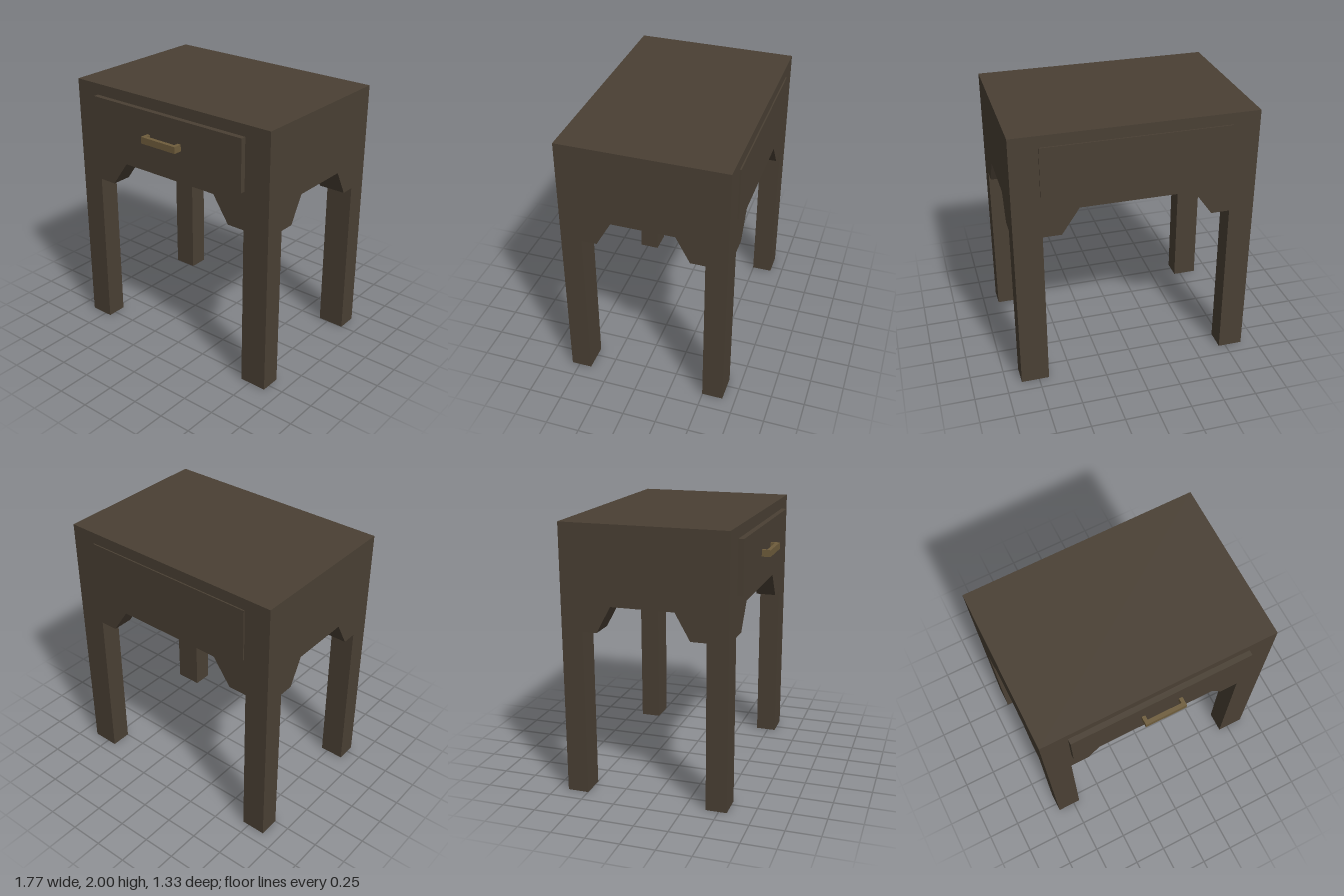
import * as THREE from 'three';

export function createModel() {
  const wood = new THREE.MeshStandardMaterial({ color: 0x4a4034 });
  wood.name = 'dark wood';
  const brass = new THREE.MeshStandardMaterial({ color: 0x6f5d3c });
  brass.name = 'aged brass';

  const model = new THREE.Group();
  model.name = 'nightstand';

  function add(name, geometry, material, parent = model) {
    const mesh = new THREE.Mesh(geometry, material);
    mesh.name = name;
    parent.add(mesh);
    return mesh;
  }

  // Box given by its minimum and maximum on each axis
  function box(name, [x0, x1], [y0, y1], [z0, z1], material, parent) {
    const mesh = add(name, new THREE.BoxGeometry(x1 - x0, y1 - y0, z1 - z0), material, parent);
    mesh.position.set((x0 + x1) / 2, (y0 + y1) / 2, (z0 + z1) / 2);
  }

  const bodyBottom = 1.43, legTop = 1.235;

  // Cabinet body
  box('body', [-0.883, 0.883], [bodyBottom, 2], [-0.655, 0.56], wood);

  // Each end: outer face, inner face of leg, bracket foot, bracket top
  const xEnds = {
    Left: [0.883, 0.675, 0.54, 0.41],
    Right: [-0.883, -0.698, -0.56, -0.42],
  };
  const zEnds = {
    front: [0.56, 0.405, 0.29, 0.18],
    back: [-0.655, -0.498, -0.39, -0.285],
  };
  const span = (a, b) => [Math.min(a, b), Math.max(a, b)];

  // Sloped corner bracket, extruded to the thickness of the leg
  function bracketGeometry([, inner, foot, top], [near, far]) {
    const shape = new THREE.Shape([
      new THREE.Vector2(inner, legTop),
      new THREE.Vector2(foot, legTop),
      new THREE.Vector2(top, bodyBottom),
      new THREE.Vector2(inner, bodyBottom),
    ]);
    const geometry = new THREE.ExtrudeGeometry(shape, { depth: far - near, bevelEnabled: false });
    return geometry.translate(0, 0, near);
  }

  // Four legs, each with a bracket along both aprons
  for (const [zName, z] of Object.entries(zEnds)) {
    for (const [xName, x] of Object.entries(xEnds)) {
      const corner = new THREE.Group();
      corner.name = `${zName}${xName}Corner`;
      model.add(corner);
      const xSpan = span(x[0], x[1]), zSpan = span(z[0], z[1]);
      box('leg', xSpan, [0, bodyBottom], zSpan, wood, corner);
      add('apronBracket', bracketGeometry(x, zSpan), wood, corner);
      // Profile drawn along z: turn the extrusion so that shape x becomes z
      const side = bracketGeometry(z, [-xSpan[1], -xSpan[0]]).rotateY(-Math.PI / 2);
      add('sideBracket', side, wood, corner);
    }
  }

  // Drawer front and raised back panel
  box('drawerFront', [-0.682, 0.68], [1.525, 1.915], [0.55, 0.6], wood);
  box('backPanel', [-0.682, 0.68], [1.525, 1.915], [-0.665, -0.65], wood);

  // Drawer pull: a bar on two posts
  const handle = new THREE.Group();
  handle.name = 'handle';
  model.add(handle);
  const hy = [1.693, 1.743];
  box('bar', [-0.158, 0.156], hy, [0.635, 0.665], brass, handle);
  box('postRight', [-0.158, -0.131], hy, [0.6, 0.635], brass, handle);
  box('postLeft', [0.129, 0.156], hy, [0.6, 0.635], brass, handle);

  return model;
}
